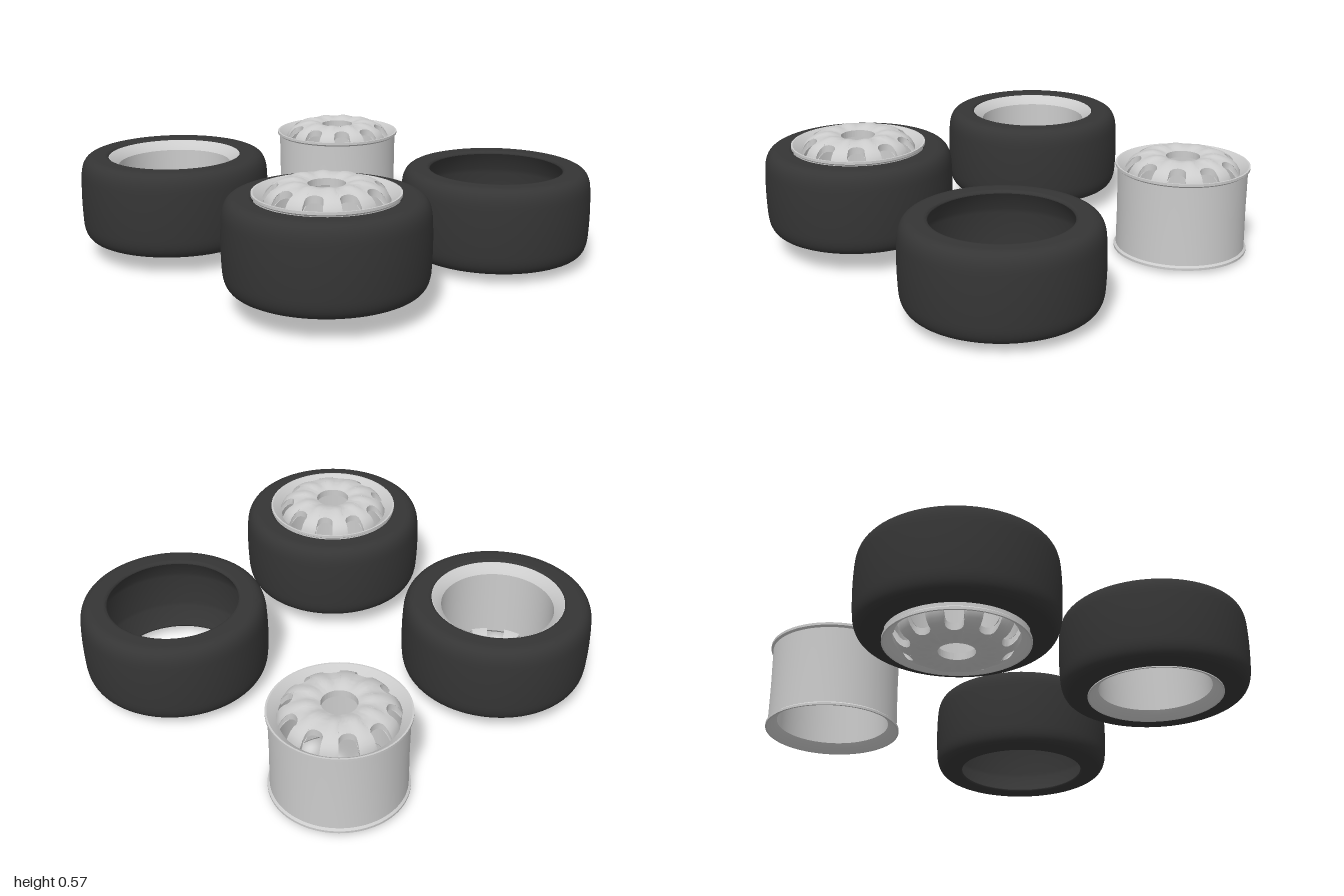
import * as THREE from 'three';
import { toCreasedNormals } from 'three/addons/utils/BufferGeometryUtils.js';

const rubber = new THREE.MeshStandardMaterial({ color: 0x353535 });
rubber.name = 'black rubber';
const metal = new THREE.MeshStandardMaterial({ color: 0xcccccc });
metal.name = 'silver metal';

const NOTCHES = 10;

// Hollow tyre, centred on y = 0, with rounded shoulders and an undercut inside
function tyreGeometry() {
  const p = new THREE.Path();
  p.moveTo(0.31, -0.187);
  p.quadraticCurveTo(0.311, -0.2, 0.33, -0.2);
  p.lineTo(0.375, -0.2);
  p.bezierCurveTo(0.42, -0.2, 0.438, -0.165, 0.441, -0.11);
  p.quadraticCurveTo(0.448, 0, 0.441, 0.11);
  p.bezierCurveTo(0.438, 0.165, 0.42, 0.2, 0.375, 0.2);
  p.lineTo(0.33, 0.2);
  p.quadraticCurveTo(0.311, 0.2, 0.31, 0.187);
  p.lineTo(0.36, 0.1);
  p.quadraticCurveTo(0.37, 0, 0.36, -0.1);
  p.lineTo(0.31, -0.187);
  return toCreasedNormals(new THREE.LatheGeometry(p.getPoints(10), 80), 0.6);
}

// Barrel with a thin flange and sloping lip at each end
function barrelGeometry() {
  const points = [
    [0.264, 0.055], [0.28, 0.035], [0.308, 0.015], [0.316, 0.015], [0.316, 0.026], [0.306, 0.034],
    [0.304, 0.225], [0.306, 0.414], [0.316, 0.422], [0.316, 0.434], [0.308, 0.434],
    [0.28, 0.412], [0.264, 0.395], [0.264, 0.055],
  ].map(([r, y]) => new THREE.Vector2(r, y));
  return toCreasedNormals(new THREE.LatheGeometry(points, 80), 0.5);
}

// Height of the domed face at a given radius
const domeProfile = [
  [0.08, 0.468], [0.11, 0.479], [0.14, 0.483], [0.17, 0.478], [0.2, 0.469], [0.235, 0.452], [0.258, 0.428], [0.27, 0.402],
];
function domeHeight(r) {
  for (let i = 1; i < domeProfile.length; i++) {
    const [r0, y0] = domeProfile[i - 1], [r1, y1] = domeProfile[i];
    if (r <= r1) return y0 + (y1 - y0) * (r - r0) / (r1 - r0);
  }
  return 0.402;
}

// Domed face: radial sections run from the hub hole to a notched outline
function faceGeometry() {
  const half = [[0, 0.2], [0.07, 0.202], [0.13, 0.208], [0.175, 0.222], [0.185, 0.24], [0.165, 0.268], [0.24, 0.269]];
  const sector = [...half.slice(1).reverse().map(([a, r]) => [-a, r]), ...half, [Math.PI / NOTCHES, 0.269]];
  const steps = 12, thickness = 0.032, ring = 2 * (steps + 1);
  const positions = [], indices = [];
  const columns = NOTCHES * sector.length;
  for (let k = 0; k < NOTCHES; k++) {
    sector.forEach(([a, outer], j) => {
      const base = k * 2 * Math.PI / NOTCHES;
      const even = ((j + 1) / sector.length * 2 - 1) * Math.PI / NOTCHES;
      for (let s = 0; s < ring; s++) {
        const under = s > steps;
        const u = (under ? ring - 1 - s : s) / steps;
        const r = 0.08 + (outer - 0.08) * u;
        const angle = base + even + (a - even) * Math.min(1, u * 1.3);
        // Slight scallop towards each notch
        const swell = -0.004 * Math.cos(NOTCHES * angle) * Math.sin(Math.PI * u);
        const y = domeHeight(r) + swell - (under ? thickness : 0);
        positions.push(Math.sin(angle) * r, y, Math.cos(angle) * r);
      }
    });
  }
  for (let c = 0; c < columns; c++) {
    for (let s = 0; s < ring; s++) {
      const next = (c + 1) % columns, t = (s + 1) % ring;
      const p = c * ring + s, q = next * ring + s, v = next * ring + t, w = c * ring + t;
      indices.push(p, w, q, w, v, q);
    }
  }
  const g = new THREE.BufferGeometry();
  g.setAttribute('position', new THREE.Float32BufferAttribute(positions, 3));
  g.setIndex(indices);
  return toCreasedNormals(g, 0.7);
}

export function createModel() {
  const model = new THREE.Group();
  model.name = 'wheelSet';
  const tyre = tyreGeometry(), barrel = barrelGeometry(), face = faceGeometry();

  const add = (parent, geometry, material, name) => {
    const mesh = new THREE.Mesh(geometry, material);
    mesh.name = name;
    parent.add(mesh);
    return mesh;
  };
  const addTyre = (name, x, y, z) => add(model, tyre, rubber, name).position.set(x, y, z);
  const addRim = (name, x, y, z, turn, flipped) => {
    const rim = new THREE.Group();
    rim.name = name;
    add(rim, barrel, metal, 'rimBarrel');
    add(rim, face, metal, 'rimFace');
    rim.rotation.set(flipped ? Math.PI : 0, turn, 0);
    rim.position.set(x, y, z);
    model.add(rim);
  };

  // Complete wheel, face up
  addTyre('frontWheelTyre', -0.532, 0.3, 0.548);
  addRim('frontWheelRim', -0.532, 0.083, 0.548, Math.PI / NOTCHES, false);
  // Complete wheel, face down
  addTyre('backWheelTyre', -0.532, 0.28, -0.557);
  addRim('backWheelRim', -0.532, 0.486, -0.557, Math.PI / NOTCHES, true);
  // Separate tyre and rim
  addTyre('looseTyre', 0.526, 0.242, 0.548);
  addRim('looseRim', 0.525, 0, -0.57, 0, false);

  return model;
}
